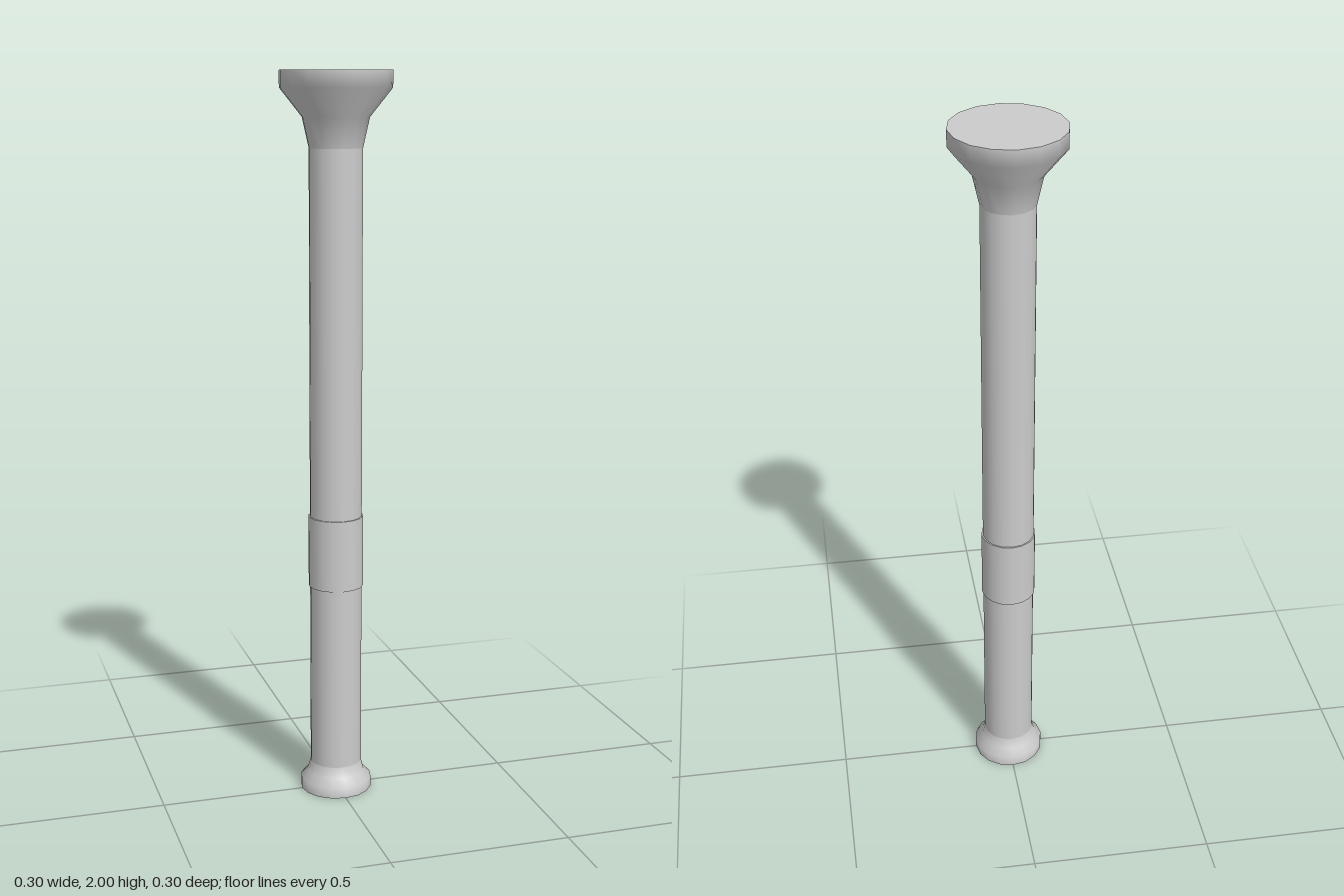
import * as THREE from 'three';

const SIDES = 16;

export function createModel() {
  const group = new THREE.Group();
  const paleGrey = new THREE.MeshStandardMaterial({ color: 0xcccccc });
  paleGrey.name = 'paleGrey';

  // Turned part from a profile of [radius, height] pairs, listed bottom to top
  const turn = (name, profile) => {
    const points = profile.map(([r, y]) => new THREE.Vector2(r, y));
    const mesh = new THREE.Mesh(new THREE.LatheGeometry(points, SIDES), paleGrey);
    mesh.name = name;
    group.add(mesh);
  };

  // Foot with a short rim, narrowing into the shaft
  turn('footUnderside', [[0, 0], [0.1, 0]]);
  turn('foot', [[0.1, 0], [0.1, 0.03], [0.08, 0.05], [0.072, 0.08]]);

  // Straight shaft
  turn('shaft', [[0.072, 0.08], [0.072, 1.8]]);

  // Slightly raised grip sleeve with flat lips
  turn('sleeveLowerLip', [[0.072, 0.6], [0.076, 0.6]]);
  turn('sleeve', [[0.076, 0.6], [0.076, 0.8]]);
  turn('sleeveUpperLip', [[0.076, 0.8], [0.072, 0.8]]);

  // Flared head with a flat top
  turn('head', [[0.072, 1.8], [0.09, 1.88], [0.15, 1.955], [0.15, 2]]);
  turn('headTop', [[0.15, 2], [0, 2]]);

  return group;
}
